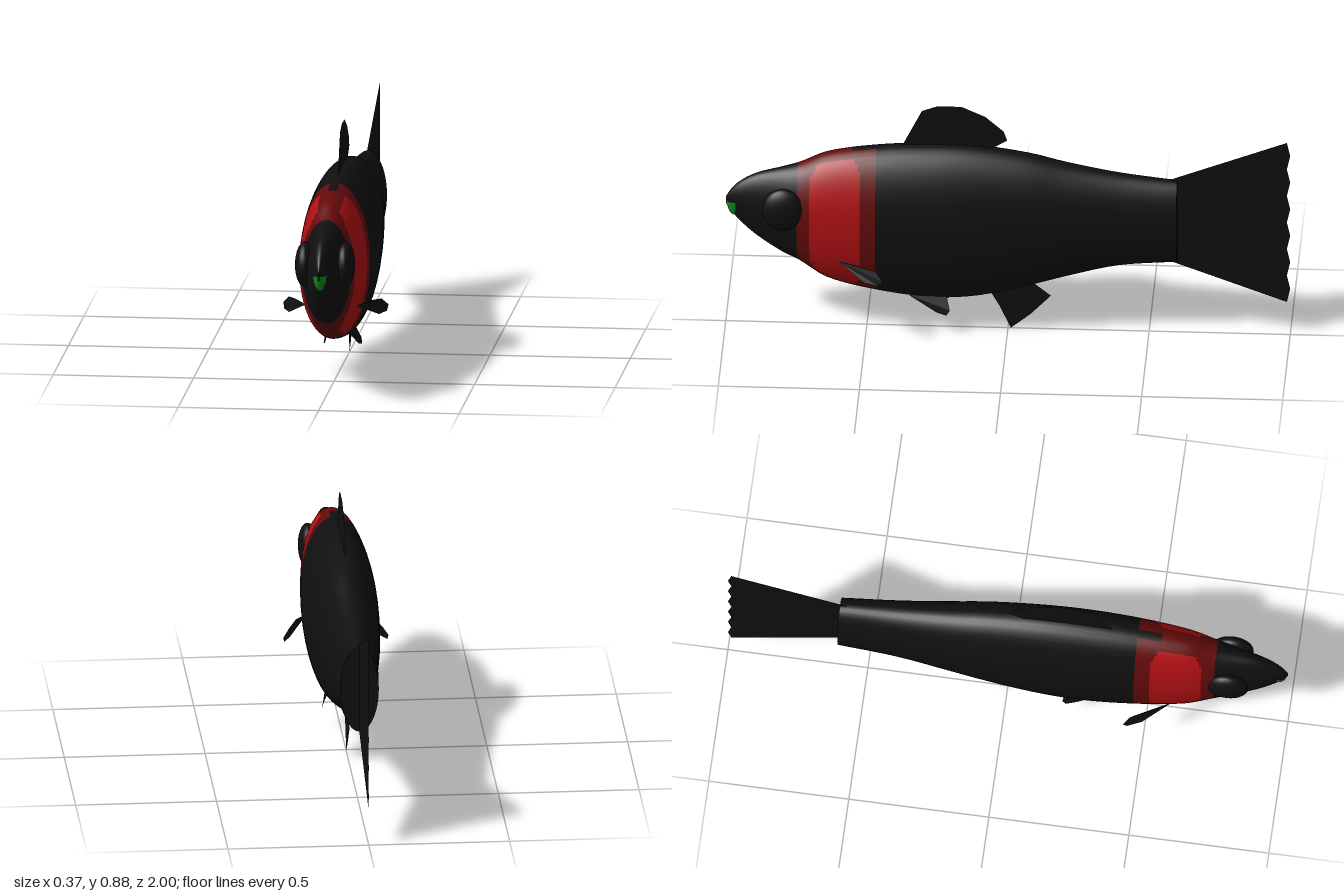
import * as THREE from 'three';

// Body stations: z, top y, bottom y, half width
const STATIONS = [
  [1.0, 0.5, 0.475, 0.002], [0.97, 0.545, 0.43, 0.021], [0.9, 0.592, 0.36, 0.045], [0.8, 0.622, 0.29, 0.07],
  [0.74, 0.64, 0.26, 0.087], [0.64, 0.685, 0.195, 0.108], [0.465, 0.715, 0.15, 0.125], [0.28, 0.727, 0.127, 0.132],
  [0.12, 0.724, 0.134, 0.128], [-0.07, 0.698, 0.18, 0.116], [-0.21, 0.664, 0.222, 0.102], [-0.39, 0.63, 0.268, 0.083],
  [-0.6, 0.605, 0.287, 0.068],
];
const SIDES = 48;

// Smooth (Catmull-Rom style) interpolation of the stations at z
function sectionAt(z) {
  let i = 0;
  while (i < STATIONS.length - 2 && z < STATIONS[i + 1][0]) i++;
  const a = STATIONS[i], b = STATIONS[i + 1];
  const t = (z - a[0]) / (b[0] - a[0]), d = b[0] - a[0];
  const slope = (k, c) => {
    const p = STATIONS[Math.max(k - 1, 0)], q = STATIONS[Math.min(k + 1, STATIONS.length - 1)];
    return (q[c] - p[c]) / (q[0] - p[0]);
  };
  return [1, 2, 3].map((c) =>
    a[c] * (1 + 2 * t) * (1 - t) ** 2 + b[c] * t * t * (3 - 2 * t) +
    d * (slope(i, c) * t * (1 - t) ** 2 - slope(i + 1, c) * t * t * (1 - t)));
}

// Colour index of a body face: 0 black, 1 dark red collar, 2 bright red cheek
function bandColour(z, a) {
  if (z > 0.745 || z < 0.465) return 0;
  if (z < 0.55 && Math.abs(Math.sin(a)) < Math.sin((2 * Math.PI) / SIDES)) return 0;
  const u = (z - 0.61) / 0.092, v = Math.cos(a) / 0.94;
  return Math.abs(u) ** 3 + v ** 10 < 1 ? 2 : 1;
}

function bodyGeometry() {
  // Rings, with exact rings on the colour borders
  const zs = [];
  [[1, 0.745, 14], [0.745, 0.7, 4], [0.7, 0.52, 18], [0.52, 0.465, 5], [0.465, -0.6, 30]].forEach(([from, to, n]) => {
    for (let k = 0; k < n; k++) zs.push(from + ((to - from) * k) / n);
  });
  zs.push(-0.6);
  const pos = [], faces = [[], [], []];
  zs.forEach((z, i) => {
    const [top, bottom, w] = sectionAt(z);
    for (let j = 0; j < SIDES; j++) {
      const a = (j / SIDES) * Math.PI * 2;
      pos.push(w * Math.sin(a), (top + bottom) / 2 + ((top - bottom) / 2) * Math.cos(a), z);
      if (i === zs.length - 1) continue;
      const p = i * SIDES + j, q = i * SIDES + ((j + 1) % SIDES);
      const colour = bandColour((z + zs[i + 1]) / 2, ((j + 0.5) / SIDES) * Math.PI * 2);
      faces[colour].push(p, q, p + SIDES, q, q + SIDES, p + SIDES);
    }
  });
  const geo = new THREE.BufferGeometry();
  geo.setAttribute('position', new THREE.Float32BufferAttribute(pos, 3));
  geo.setIndex(faces.flat());
  let start = 0;
  faces.forEach((f, k) => {
    geo.addGroup(start, f.length, k);
    start += f.length;
  });
  geo.computeVertexNormals();
  return geo;
}

// Flat fin in the middle plane from [z, y] outline points
function middleFin(points) {
  const shape = new THREE.Shape(points.map(([z, y]) => new THREE.Vector2(-z, y)));
  return new THREE.ShapeGeometry(shape).rotateY(Math.PI / 2);
}

// Thin side fin fanned from its first [x, y, z] point, mirrored by side
function sideFin(points, side) {
  const pos = [];
  for (let i = 1; i < points.length - 1; i++) {
    [points[0], points[i], points[i + 1]].forEach(([x, y, z]) => pos.push(x * side, y, z));
  }
  const geo = new THREE.BufferGeometry();
  geo.setAttribute('position', new THREE.Float32BufferAttribute(pos, 3));
  geo.computeVertexNormals();
  return geo;
}

export function createModel() {
  const group = new THREE.Group();
  group.name = 'fish';
  const material = (name, color, side = THREE.FrontSide) => {
    const m = new THREE.MeshStandardMaterial({ color, side });
    m.name = name;
    return m;
  };
  const black = material('black', 0x101010, THREE.DoubleSide);
  const darkRed = material('dark red', 0x640a0a);
  const brightRed = material('bright red', 0xb01012);
  const green = material('green', 0x128a1a);
  const add = (name, geo, mat) => {
    const mesh = new THREE.Mesh(geo, mat);
    mesh.name = name;
    group.add(mesh);
    return mesh;
  };

  // Body with the red collar, closed at the tail root
  add('body', bodyGeometry(), [black, darkRed, brightRed]);
  const cap = add('tailRoot', new THREE.CircleGeometry(1, SIDES).rotateY(Math.PI), black);
  cap.scale.set(0.068, 0.159, 1);
  cap.position.set(0, 0.446, -0.6);

  // Green lower lip
  const mouth = add('mouth', new THREE.SphereGeometry(1, 20, 10, 0, Math.PI * 2, Math.PI / 2, Math.PI / 2), green);
  mouth.scale.set(0.024, 0.058, 0.03);
  mouth.position.set(0, 0.487, 0.967);

  // Tail with a wavy trailing edge
  const tail = [[-0.57, 0.608]];
  for (let i = 0; i <= 24; i++) tail.push([-0.994 + 0.006 * Math.cos(i * Math.PI / 2), 0.768 - (i / 24) * 0.635]);
  tail.push([-0.57, 0.287]);
  add('tailFin', middleFin(tail), black);

  // Back and belly fins
  add('dorsalFin', middleFin([[0.385, 0.7], [0.345, 0.78], [0.305, 0.86], [0.25, 0.88], [0.165, 0.88], [0.08, 0.842],
    [0.015, 0.785], [0.003, 0.75], [0.06, 0.715], [0.07, 0.68]]), black);
  add('analFin', middleFin([[0.07, 0.16], [0.03, 0.09], [-0.01, 0.003], [-0.08, 0.06], [-0.152, 0.135], [-0.07, 0.2]]), black);

  // Paired eyes and fins
  [[1, 'left'], [-1, 'right']].forEach(([s, name]) => {
    const eye = add(name + 'Eye', new THREE.SphereGeometry(1, 24, 16), black);
    eye.scale.set(0.035, 0.081, 0.075);
    eye.position.set(0.071 * s, 0.488, 0.793);
    add(name + 'PectoralFin', sideFin([[0.09, 0.3, 0.6], [0.135, 0.306, 0.53], [0.165, 0.298, 0.46], [0.187, 0.272, 0.435],
      [0.183, 0.252, 0.45], [0.16, 0.25, 0.5], [0.125, 0.275, 0.55]], s), black);
    add(name + 'PelvicFin', sideFin([[0.04, 0.145, 0.35], [0.05, 0.115, 0.29], [0.06, 0.088, 0.25], [0.068, 0.08, 0.215],
      [0.066, 0.1, 0.203], [0.045, 0.145, 0.215]], s), black);
  });
  return group;
}
